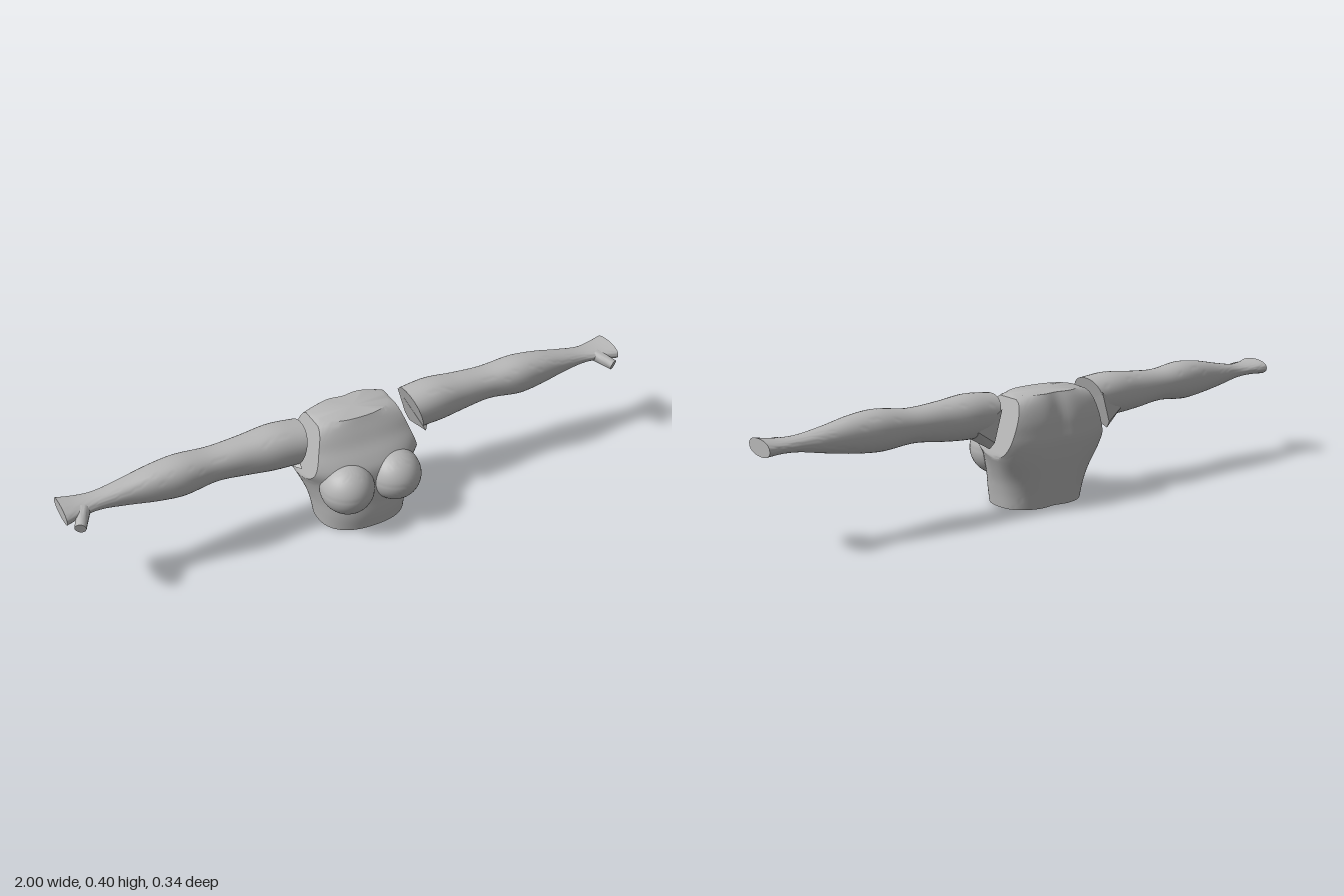
import * as THREE from 'three';
import { toCreasedNormals } from 'three/addons/utils/BufferGeometryUtils.js';
import { ConvexGeometry } from 'three/addons/geometries/ConvexGeometry.js';

// Smooth lookup through key rows: [position, value, value, ...]
function profile(rows) {
  const size = rows[0].length - 1;
  const curve = new THREE.CubicInterpolant(rows.map(r => r[0]), rows.flatMap(r => r.slice(1)), size);
  return t => Array.from(curve.evaluate(t));
}

// Skin closed rings of [x, y, z] and cap both ends
function loft(rings) {
  const n = rings[0].length, pos = rings.flat(2), index = [];
  for (let i = 0; i < rings.length - 1; i++) {
    for (let j = 0; j < n; j++) {
      const a = i * n + j, b = i * n + (j + 1) % n;
      index.push(a, b, b + n, a, b + n, a + n);
    }
  }
  [0, rings.length - 1].forEach((r, end) => {
    const centre = [0, 1, 2].map(k => rings[r].reduce((s, p) => s + p[k], 0) / n);
    const c = pos.length / 3;
    pos.push(...centre);
    for (let j = 0; j < n; j++) {
      const a = r * n + j, b = r * n + (j + 1) % n;
      index.push(c, end ? a : b, end ? b : a);
    }
  });
  const geo = new THREE.BufferGeometry();
  geo.setAttribute('position', new THREE.Float32BufferAttribute(pos, 3));
  geo.setIndex(index);
  return geo;
}

// Flip a left part to the right side and restore the winding
function mirrored(source) {
  const geo = source.index ? source.toNonIndexed() : source.clone();
  geo.scale(-1, 1, 1);
  const p = geo.attributes.position;
  const a = new THREE.Vector3(), b = new THREE.Vector3();
  for (let i = 0; i < p.count; i += 3) {
    a.fromBufferAttribute(p, i + 1);
    b.fromBufferAttribute(p, i + 2);
    p.setXYZ(i + 1, b.x, b.y, b.z);
    p.setXYZ(i + 2, a.x, a.y, a.z);
  }
  return geo;
}

function torsoGeometry() {
  // y, uncut half width, front z, back z, z of widest point
  const at = profile([
    [0, 0.153, 0.107, -0.13, -0.015],
    [0.05, 0.16, 0.112, -0.14, -0.02],
    [0.1, 0.171, 0.11, -0.15, -0.035],
    [0.18, 0.203, 0.107, -0.164, -0.07],
    [0.23, 0.23, 0.1, -0.169, -0.06],
    [0.26, 0.238, 0.083, -0.167, -0.055],
    [0.3, 0.235, 0.054, -0.163, -0.055],
    [0.34, 0.215, 0.032, -0.153, -0.055],
    [0.365, 0.175, 0.018, -0.143, -0.058],
    [0.38, 0.125, 0.01, -0.135, -0.06],
  ]);
  const rings = [], N = 36, S = 4;
  for (let i = 0; i <= 40; i++) {
    const y = 0.38 * i / 40;
    const [h, front, back, mid] = at(y);
    // slanted flat cut for the armhole
    const w = Math.min(h, 0.205 - (y - 0.18) * 0.33);
    const curve = (x, edge, e) =>
      mid + (edge - mid) * Math.pow(Math.max(0, 1 - Math.pow(Math.abs(x) / h, e)), 1 / e);
    const frontZ = x => curve(x, front, 2.4);
    const backZ = x => curve(x, back, 2.6) + 0.01 * Math.exp(-((x / 0.035) ** 2));
    const ring = [];
    for (let k = 0; k <= N; k++) {
      const x = -w * Math.cos(Math.PI * k / N);
      ring.push([x, y, frontZ(x)]);
    }
    for (let k = 1; k < S; k++) ring.push([w, y, THREE.MathUtils.lerp(frontZ(w), backZ(w), k / S)]);
    for (let k = 0; k <= N; k++) {
      const x = w * Math.cos(Math.PI * k / N);
      ring.push([x, y, backZ(x)]);
    }
    for (let k = 1; k < S; k++) ring.push([-w, y, THREE.MathUtils.lerp(backZ(w), frontZ(w), k / S)]);
    rings.push(ring);
  }
  return loft(rings);
}

function armGeometry() {
  // x, top, bottom, back, front
  const at = profile([
    [0.21, 0.388, 0.255, -0.115, 0.036],
    [0.3, 0.397, 0.254, -0.118, 0.03],
    [0.4, 0.387, 0.262, -0.109, 0.016],
    [0.5, 0.381, 0.273, -0.104, 0.012],
    [0.62, 0.393, 0.263, -0.104, 0.025],
    [0.7, 0.386, 0.27, -0.096, 0.018],
    [0.8, 0.366, 0.287, -0.084, 0.003],
    [0.89, 0.351, 0.304, -0.075, 0],
    [0.95, 0.351, 0.308, -0.084, 0.016],
    [1, 0.358, 0.305, -0.095, 0.034],
  ]);
  const rings = [], N = 36;
  for (let i = 0; i <= 48; i++) {
    const x = 0.213 + 0.787 * i / 48;
    const [top, bottom, back, front] = at(x);
    const slant = 0.31 * THREE.MathUtils.clamp((0.45 - x) / 0.237, 0, 1);
    const ring = [];
    for (let j = 0; j < N; j++) {
      const a = 2 * Math.PI * j / N, c = Math.cos(a), s = Math.sin(a);
      const y = (top + bottom) / 2 + (top - bottom) / 2 * Math.sign(c) * Math.abs(c) ** 0.9;
      const z = (front + back) / 2 + (front - back) / 2 * Math.sign(s) * Math.abs(s) ** 0.9;
      ring.push([x + slant * (0.32 - y), y, z]);
    }
    rings.push(ring);
  }
  return loft(rings);
}

// Tapered thumb stub with a flat end
function thumbGeometry() {
  const from = new THREE.Vector3(0.935, 0.328, -0.012), to = new THREE.Vector3(0.968, 0.312, 0.052);
  const dir = to.clone().sub(from);
  const geo = new THREE.CylinderGeometry(0.018, 0.022, dir.length(), 16, 3);
  geo.applyQuaternion(new THREE.Quaternion().setFromUnitVectors(new THREE.Vector3(0, 1, 0), dir.normalize()));
  const mid = from.add(to).multiplyScalar(0.5);
  return geo.translate(mid.x, mid.y, mid.z);
}

// Angular flap under the back of the shoulder
function flapGeometry() {
  return new ConvexGeometry([
    [0.228, 0.266, 0.036], [0.241, 0.222, -0.098], [0.234, 0.246, -0.117], [0.204, 0.35, -0.117],
    [0.29, 0.285, -0.11], [0.3, 0.262, -0.06], [0.22, 0.31, -0.04],
  ].map(p => new THREE.Vector3(...p)));
}

export function createModel() {
  const model = new THREE.Group();
  const skin = new THREE.MeshStandardMaterial({ color: 0xb6b6b6 });
  skin.name = 'plain grey';
  const add = (geo, name, parent, crease = 0.7) => {
    const mesh = new THREE.Mesh(toCreasedNormals(geo, crease), skin);
    mesh.name = name;
    parent.add(mesh);
  };

  add(torsoGeometry(), 'torso', model);

  const bust = new THREE.SphereGeometry(1, 40, 28);
  bust.scale(0.09, 0.088, 0.095).translate(0.087, 0.17, 0.075);
  const parts = [['Arm', armGeometry()], ['Thumb', thumbGeometry()], ['ArmpitFlap', flapGeometry(), 0.2]];

  for (const side of ['left', 'right']) {
    const place = geo => (side === 'left' ? geo : mirrored(geo));
    add(place(bust), side + 'Breast', model);
    const limb = new THREE.Group();
    limb.name = side + 'ArmGroup';
    for (const [name, geo, crease] of parts) add(place(geo), side + name, limb, crease);
    model.add(limb);
  }
  return model;
}
